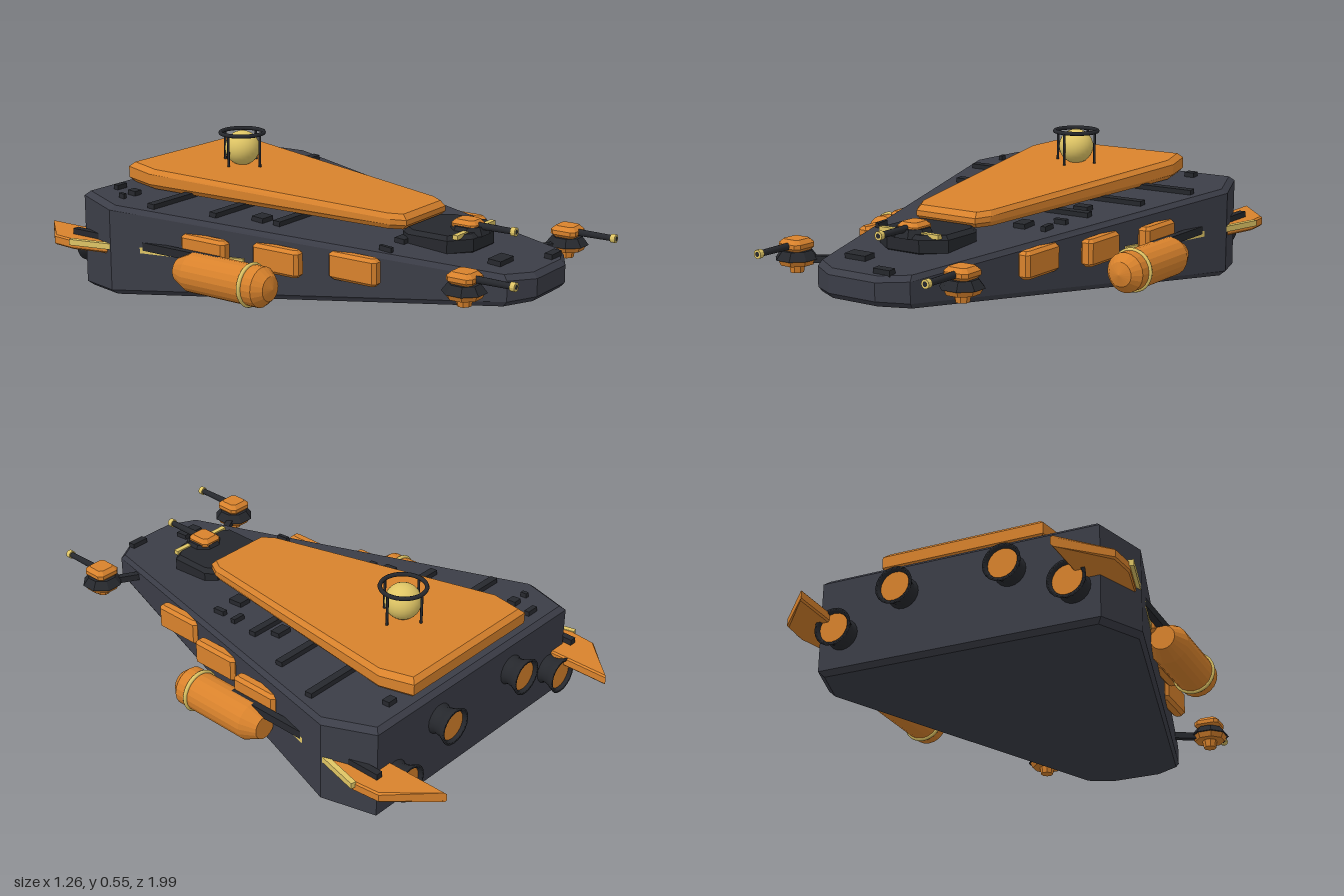
import * as THREE from 'three';

const mat = (color) => new THREE.MeshStandardMaterial({ color, flatShading: true });
const smooth = (color) => new THREE.MeshStandardMaterial({ color, side: THREE.DoubleSide });
const ORANGE = 0xd8822c, YELLOW = 0xdfc565, HULL = 0x3b3d47, DARK = 0x26282d;

// Height of the sloping deck at a given z
const deckY = (z) => 0.24 + ((0.93 - z) / 1.69) * 0.13;
const deckTilt = Math.atan(0.13 / 1.69);

function add(parent, name, geometry, material, x = 0, y = 0, z = 0) {
  const m = new THREE.Mesh(geometry, material);
  m.name = name;
  m.position.set(x, y, z);
  parent.add(m);
  return m;
}

// Mirrors a half outline listed from front to back on the +x side
const mirrored = (half) => [...half, ...half.map(([x, z]) => [-x, z]).reverse()];

// Convex slab with chamfered rims; bottom and top heights are functions of z
function slab(outline, bottom, top, bevel) {
  const xs = outline.map((p) => p[0]), zs = outline.map((p) => p[1]);
  const cx = (Math.max(...xs) + Math.min(...xs)) / 2, cz = (Math.max(...zs) + Math.min(...zs)) / 2;
  const kx = 1 - bevel / (Math.max(...xs) - cx), kz = 1 - bevel / (Math.max(...zs) - cz);
  const ring = (height, offset, inset) => outline.map(([x, z]) => {
    const px = inset ? cx + (x - cx) * kx : x, pz = inset ? cz + (z - cz) * kz : z;
    return [px, height(pz) + offset, pz];
  });
  const rings = [ring(bottom, 0, true), ring(bottom, bevel, false), ring(top, -bevel, false), ring(top, 0, true)];
  const n = outline.length, pos = [];
  for (let r = 0; r < 3; r++) {
    for (let i = 0; i < n; i++) {
      const j = (i + 1) % n, a = rings[r][i], b = rings[r][j], c = rings[r + 1][j], d = rings[r + 1][i];
      pos.push(...a, ...b, ...c, ...a, ...c, ...d);
    }
  }
  for (let i = 1; i < n - 1; i++) {
    pos.push(...rings[3][0], ...rings[3][i], ...rings[3][i + 1]);
    pos.push(...rings[0][0], ...rings[0][i + 1], ...rings[0][i]);
  }
  const g = new THREE.BufferGeometry();
  g.setAttribute('position', new THREE.Float32BufferAttribute(pos, 3));
  g.computeVertexNormals();
  return g;
}

// Box with chamfered edges, centred on the origin
function chamferBox(w, h, d, b) {
  const x = w / 2, z = d / 2;
  return slab(mirrored([[x - b, z], [x, z - b], [x, b - z], [x - b, -z]]), () => -h / 2, () => h / 2, b);
}

// Gun barrel along +z with a bright muzzle
function addBarrel(parent, y, z, length) {
  const barrel = new THREE.CylinderGeometry(0.011, 0.013, length, 12).rotateX(Math.PI / 2);
  add(parent, 'barrel', barrel, smooth(DARK), 0, y, z + length / 2);
  const muzzle = new THREE.CylinderGeometry(0.016, 0.016, 0.018, 12).rotateX(Math.PI / 2);
  add(parent, 'muzzle', muzzle, mat(YELLOW), 0, y, z + length);
  const bore = new THREE.CircleGeometry(0.009, 12);
  add(parent, 'bore', bore, mat(DARK), 0, y, z + length + 0.0095);
}

function sideTurret(s) {
  const g = new THREE.Group();
  g.name = s > 0 ? 'leftTurret' : 'rightTurret';
  g.position.set(s * 0.36, 0, 0.8);
  const octagon = (top, bottom, h) => new THREE.CylinderGeometry(top, bottom, h, 8).rotateY(Math.PI / 8);
  add(g, 'turretFoot', octagon(0.03, 0.025, 0.03), mat(ORANGE), 0, 0.185, 0);
  add(g, 'turretSkirt', octagon(0.07, 0.06, 0.02), mat(ORANGE), 0, 0.209, 0);
  add(g, 'turretRing', octagon(0.055, 0.078, 0.03), mat(DARK), 0, 0.234, 0);
  add(g, 'turretHead', chamferBox(0.1, 0.045, 0.1, 0.015), mat(ORANGE), 0, 0.268, 0);
  addBarrel(g, 0.268, 0.04, 0.145);
  // Arm running back to the hull
  const arm = new THREE.BoxGeometry(0.17, 0.025, 0.025);
  add(g, 'turretArm', arm, mat(DARK), -s * 0.1, 0.218, -0.055).rotation.y = -s * 0.5;
  return g;
}

function centreTurret() {
  const g = new THREE.Group();
  g.name = 'centreTurret';
  const base = mirrored([[0.07, 0.66], [0.15, 0.6], [0.15, 0.44], [0.12, 0.4]]);
  add(g, 'turretBase', slab(base, () => 0.25, () => 0.325, 0.015), mat(DARK));
  add(g, 'turretCollar', new THREE.CylinderGeometry(0.06, 0.075, 0.03, 8).rotateY(Math.PI / 8), mat(DARK), 0, 0.325, 0.6);
  add(g, 'turretStripe', new THREE.BoxGeometry(0.26, 0.016, 0.02), mat(YELLOW), 0, 0.322, 0.62);
  add(g, 'turretHead', chamferBox(0.09, 0.04, 0.1, 0.014), mat(ORANGE), 0, 0.34, 0.595);
  addBarrel(g, 0.34, 0.64, 0.14);
  return g;
}

function sensorDome() {
  const g = new THREE.Group();
  g.name = 'sensorDome';
  g.position.set(0, 0, -0.42);
  add(g, 'dome', new THREE.SphereGeometry(0.067, 24, 16), smooth(YELLOW), 0, 0.485, 0);
  add(g, 'cageRing', new THREE.TorusGeometry(0.083, 0.008, 8, 32).rotateX(Math.PI / 2), smooth(DARK), 0, 0.545, 0);
  for (let i = 0; i < 4; i++) {
    const a = (i * Math.PI) / 2;
    const post = new THREE.CylinderGeometry(0.005, 0.005, 0.125, 8);
    add(g, 'cagePost', post, smooth(DARK), 0.085 * Math.cos(a), 0.482, 0.085 * Math.sin(a));
  }
  return g;
}

function sidePod(s) {
  const g = new THREE.Group();
  g.name = s > 0 ? 'leftPod' : 'rightPod';
  g.position.set(s * 0.55, 0.155, 0);
  const profile = [[0, -0.27], [0.045, -0.27], [0.073, -0.21], [0.073, 0.105], [0.045, 0.138], [0, 0.15]];
  const body = new THREE.LatheGeometry(profile.map(([r, z]) => new THREE.Vector2(r, z)), 20).rotateX(Math.PI / 2);
  add(g, 'podBody', body, new THREE.MeshStandardMaterial({ color: ORANGE, flatShading: true, side: THREE.DoubleSide }));
  add(g, 'podBand', new THREE.TorusGeometry(0.073, 0.008, 8, 32), smooth(YELLOW), 0, 0, 0.055);
  return g;
}

function engine(x, y) {
  const g = new THREE.Group();
  g.name = 'engine';
  g.position.set(x, y, -0.75);
  const profile = [[0.062, 0], [0.05, -0.025], [0.055, -0.05], [0.07, -0.08], [0.058, -0.08], [0.045, -0.03]];
  const bell = new THREE.LatheGeometry(profile.map(([r, z]) => new THREE.Vector2(r, z)), 20).rotateX(Math.PI / 2);
  add(g, 'nozzle', bell, smooth(DARK));
  add(g, 'nozzleGlow', new THREE.CircleGeometry(0.057, 20).rotateY(Math.PI), mat(ORANGE), 0, 0, -0.068);
  return g;
}

export function createModel() {
  const model = new THREE.Group();

  // Wedge hull and raised upper deck
  const hull = mirrored([[0.1, 0.93], [0.2, 0.87], [0.59, -0.57], [0.52, -0.76]]);
  add(model, 'hull', slab(hull, (z) => ((z + 0.76) / 1.69) * 0.14, deckY, 0.018), mat(HULL));
  const plate = mirrored([[0.13, 0.42], [0.16, 0.37], [0.335, -0.6], [0.305, -0.73]]);
  add(model, 'upperDeck', slab(plate, (z) => 0.315 + (0.42 - z) * 0.045, (z) => 0.37 + (0.42 - z) * 0.065, 0.018), mat(ORANGE));

  // Deck details: x, z, width, depth
  const details = [
    [0, -0.44, 1.02, 0.03], [0, -0.22, 0.85, 0.03], [0, 0, 0.67, 0.03],
    [-0.4, -0.69, 0.05, 0.02], [-0.42, -0.6, 0.035, 0.035], [-0.485, -0.6, 0.015, 0.025], [0.37, -0.68, 0.04, 0.03],
    [-0.32, -0.075, 0.06, 0.05], [0.26, -0.07, 0.06, 0.04], [0.29, 0.21, 0.02, 0.05], [0.19, 0.21, 0.05, 0.06],
    [0.29, 0.12, 0.05, 0.02], [-0.28, 0.435, 0.015, 0.05], [-0.15, 0.42, 0.05, 0.04], [-0.09, 0.78, 0.09, 0.05],
    [0.1, 0.88, 0.07, 0.03],
  ];
  for (const [x, z, w, d] of details) {
    add(model, 'deckDetail', new THREE.BoxGeometry(w, 0.03, d), mat(DARK), x, deckY(z) + 0.003, z).rotation.x = deckTilt;
  }

  model.add(sensorDome(), centreTurret());

  for (const s of [1, -1]) {
    model.add(sideTurret(s), sidePod(s), engine(s * 0.2, 0.25), engine(s * 0.43, 0.14));

    // Armour blocks along the hull side
    for (const [x, y, z] of [[0.355, 0.22, 0.355], [0.432, 0.222, 0.08], [0.503, 0.228, -0.19]]) {
      add(model, 'armourBlock', chamferBox(0.05, 0.1, 0.2, 0.012), mat(ORANGE), s * x, y, z);
    }

    // Swept rear fin with a bright leading edge
    const fin = [[0.45, -0.06], [0.615, -0.74], [0.605, -0.84], [0.45, -1]].map(([x, z]) => [s * x, z]);
    if (s < 0) fin.reverse();
    add(model, 'fin', slab(fin, () => 0.167, () => 0.205, 0.006), mat(ORANGE));
    const edge = new THREE.BoxGeometry(0.02, 0.022, 0.71);
    add(model, 'finEdge', edge, mat(YELLOW), s * 0.535, 0.197, -0.4).rotation.y = -s * Math.atan(0.17 / 0.69);

    // Strut carrying the pod
    add(model, 'podStrut', new THREE.BoxGeometry(0.026, 0.03, 0.69), mat(DARK), s * 0.543, 0.212, -0.445);
  }
  return model;
}
